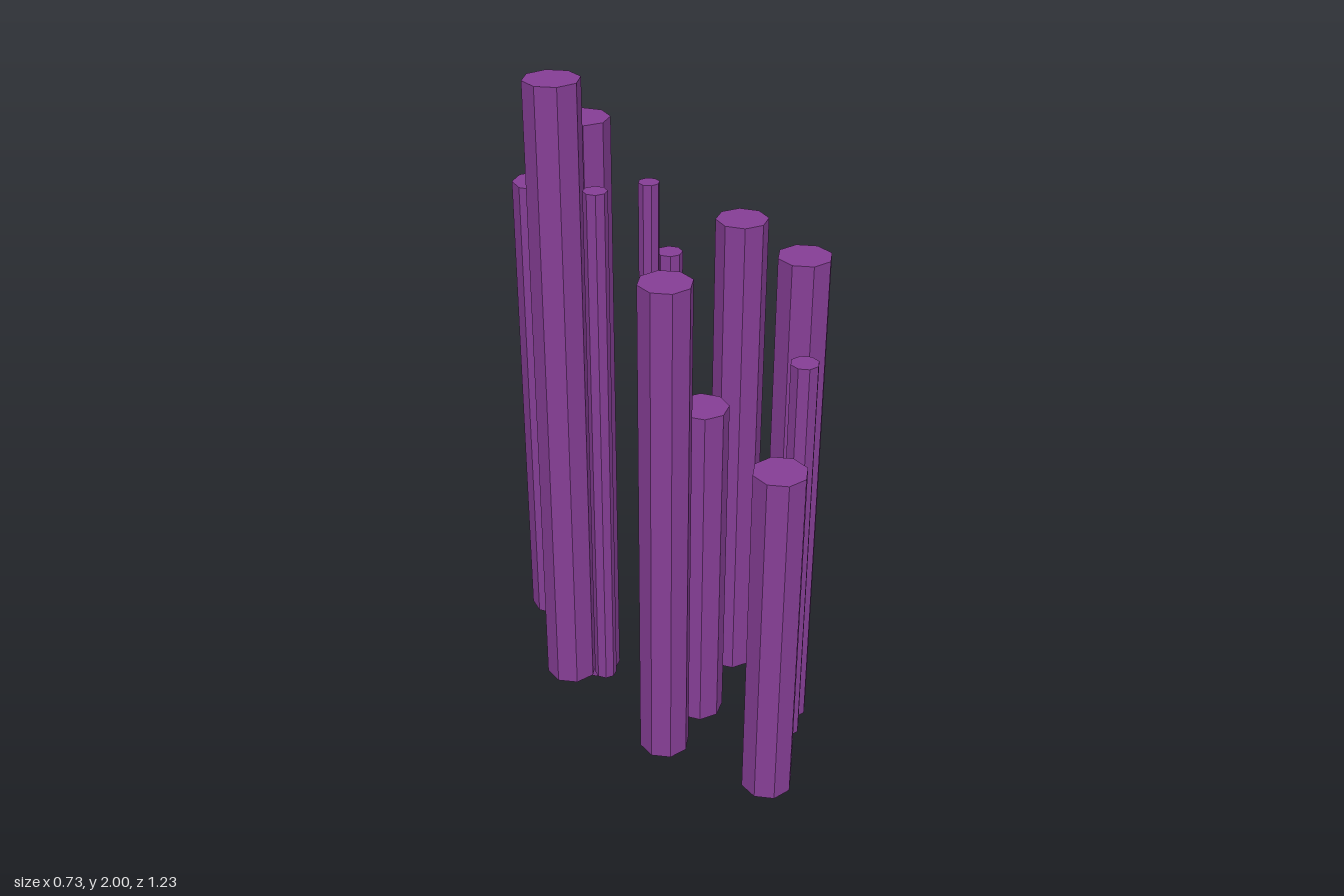
import * as THREE from 'three';

const ALIGNED = Math.PI / 8; // flats square to the axes
const TURNED = -0.21; // slightly twisted columns

// x, z, radius, bottom, top, turn
const COLUMNS = [
  [-0.134, -0.55, 0.074, 0.01, 1.52, ALIGNED],
  [-0.134, -0.2, 0.074, 0, 1.82, ALIGNED],
  [0.266, -0.04, 0.074, 0.01, 1.52, ALIGNED],
  [0.05, 0.155, 0.074, 0.03, 1.08, ALIGNED],
  [-0.296, -0.005, 0.074, 0.18, 2, TURNED],
  [-0.106, 0.24, 0.074, 0.01, 1.52, TURNED],
  [0.293, 0.252, 0.074, 0.01, 1.52, TURNED],
  [0.074, 0.54, 0.074, 0.03, 1.08, TURNED],
];
const THIN_COLUMNS = [
  [0.214, -0.386, 0.04, 0.07, 1.295, ALIGNED],
  [-0.221, 0.075, 0.032, 0.195, 1.725, ALIGNED],
  [0.087, -0.26, 0.031, 0.05, 1.58, TURNED],
  [0.215, 0.404, 0.039, 0.07, 1.295, TURNED],
];

export function createModel() {
  const model = new THREE.Group();
  model.name = 'columnCluster';
  const purple = new THREE.MeshStandardMaterial({ color: 0x863e96, flatShading: true });

  // Upright eight-sided prism
  const addColumn = (name, [x, z, radius, bottom, top, turn]) => {
    const column = new THREE.Mesh(new THREE.CylinderGeometry(radius, radius, top - bottom, 8), purple);
    column.name = name;
    column.position.set(x, (bottom + top) / 2, z);
    column.rotation.y = turn;
    model.add(column);
  };

  COLUMNS.forEach((c, i) => addColumn(`column${i + 1}`, c));
  THIN_COLUMNS.forEach((c, i) => addColumn(`thinColumn${i + 1}`, c));
  return model;
}
